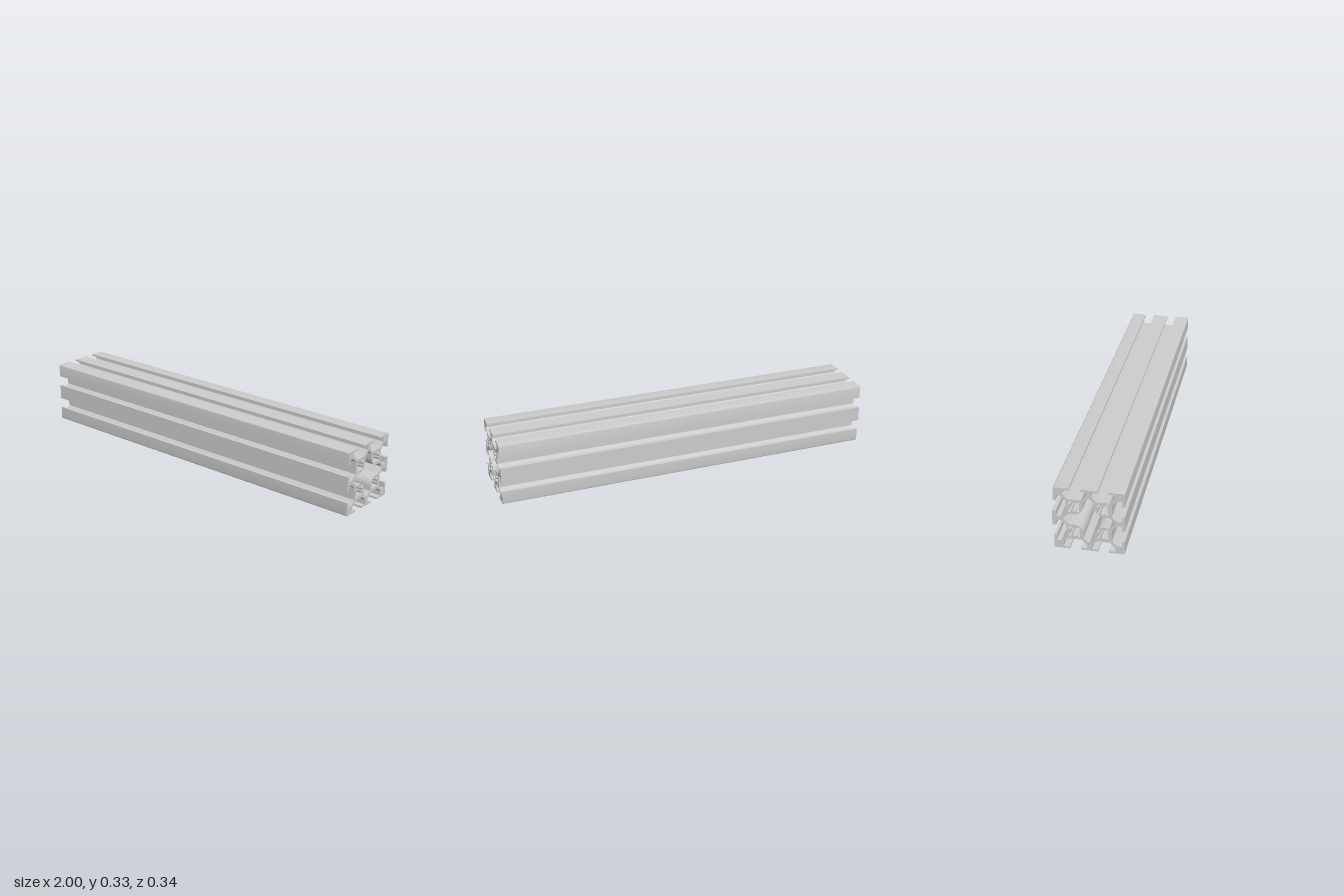
import * as THREE from 'three';
import { toCreasedNormals } from 'three/addons/utils/BufferGeometryUtils.js';

const S = 1 / 560;            // profile units to model units
const LENGTH = 2, HALF_HEIGHT = 92, SHIFT = -1.75;

// Points of an arc, in profile units
function arc(cx, cy, r, a0, a1, n) {
  return Array.from({ length: n + 1 }, (_, i) => {
    const a = a0 + (a1 - a0) * i / n;
    return [cx + r * Math.cos(a), cy + r * Math.sin(a)];
  });
}

// Repeats a quarter path (running from the right axis to the top axis) in all four quadrants
function fourQuadrants(quarter) {
  const mirror = (sx, sy) => quarter.map(([x, y]) => [sx * x, sy * y]);
  return [
    ...mirror(1, 1), ...mirror(-1, 1).reverse(),
    ...mirror(-1, -1), ...mirror(1, -1).reverse(),
  ];
}

const toVectors = (pts) => pts.map(([x, y]) => new THREE.Vector2((x + SHIFT) * S, (y + HALF_HEIGHT) * S));

// Outer edge with two T-slots per side; the right middle lip stands slightly proud
function outerEdge() {
  const quarter = [
    [93.5, 22], [86.5, 22], [86.5, 6.5], [74, 6.5], [60, 20], [60, 55], [74, 69], [86.5, 69],
    [86.5, 53], [93.5, 53], ...arc(89.5, 88, 4, 0, Math.PI / 2, 4), [52, 92], [52, 86.5],
    [69, 86.5], [69, 74], [55, 60], [20, 60], [6.5, 74], [6.5, 86.5], [23, 86.5], [23, 92],
  ];
  return fourQuadrants(quarter).map(([x, y]) => (x > 93 && Math.abs(y) < 30 ? [97, y] : [x, y]));
}

// Central star-shaped cavity, bounded by the rounded screw bosses
function centreCavity() {
  const quarter = [
    [68.5, 0], [54, 16], ...arc(40, 41, 25, -Math.PI / 2, -Math.PI, 12), [15, 54], [0, 69],
  ];
  return fourQuadrants(quarter).filter(([x, y], i, all) => {
    const [px, py] = all[(i + all.length - 1) % all.length];
    return Math.hypot(x - px, y - py) > 1e-6;
  });
}

// Round screw channel with four diagonal notches
function screwChannel(cx, cy) {
  const r = 13, reach = 20.5, half = 4, open = Math.asin(half / r), pts = [];
  for (let k = 0; k < 4; k++) {
    const d = Math.PI / 4 + k * Math.PI / 2, c = Math.cos(d), s = Math.sin(d);
    for (const side of [-half, half]) pts.push([cx + reach * c - side * s, cy + reach * s + side * c]);
    pts.push(...arc(cx, cy, r, d + open, d + Math.PI / 2 - open, 6));
  }
  return pts;
}

export function createModel() {
  const group = new THREE.Group();
  group.name = 'slottedBeam';

  const shape = new THREE.Shape(toVectors(outerEdge()));
  shape.holes.push(new THREE.Path(toVectors(centreCavity())));
  for (const sx of [-1, 1]) for (const sy of [-1, 1]) {
    shape.holes.push(new THREE.Path(toVectors(screwChannel(sx * 37.5, sy * 37.5))));
  }

  // Profile extruded along x
  const geometry = new THREE.ExtrudeGeometry(shape, { depth: LENGTH, bevelEnabled: false });
  geometry.translate(0, 0, -LENGTH / 2);
  geometry.rotateY(Math.PI / 2);

  const beam = new THREE.Mesh(
    toCreasedNormals(geometry, 0.5),
    new THREE.MeshStandardMaterial({ color: 0xcccccc }),
  );
  beam.name = 'extrudedProfile';
  group.add(beam);
  return group;
}
